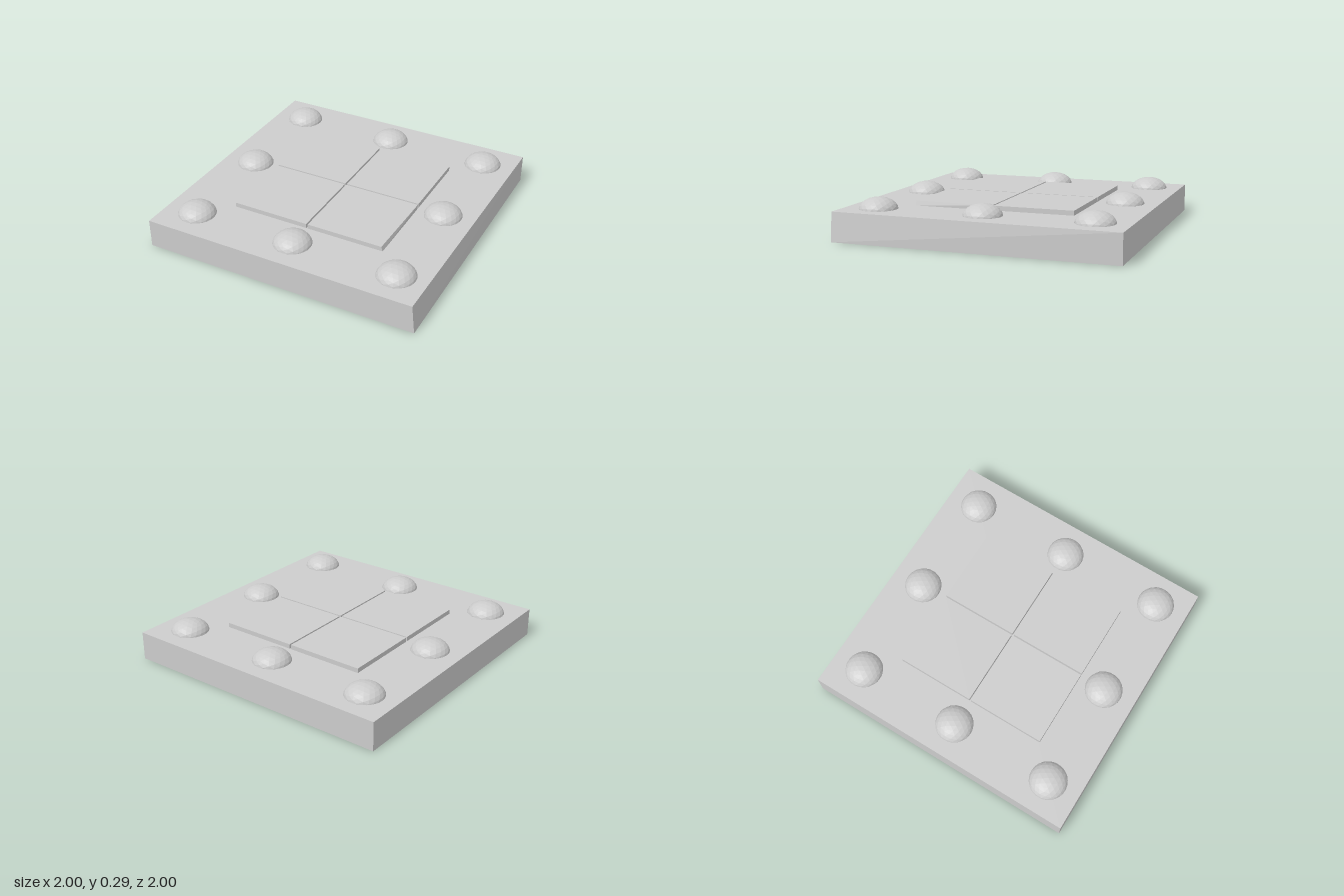
import * as THREE from 'three';

// Box standing on y = 0 whose front-left top corner is pulled inwards a little
function chippedBox(w, h, d, pull) {
  const geo = new THREE.BoxGeometry(w, h, d).translate(0, h / 2, 0);
  const p = geo.attributes.position;
  for (let i = 0; i < p.count; i++) {
    if (p.getX(i) > 0 && p.getY(i) > h / 2 && p.getZ(i) > 0) p.setX(i, p.getX(i) - pull);
  }
  geo.computeVertexNormals();
  return geo;
}

export function createModel() {
  const model = new THREE.Group();
  model.name = 'studdedSlab';
  const stone = new THREE.MeshStandardMaterial({ color: 0xcccccc });
  stone.name = 'light grey';
  stone.flatShading = true;

  const add = (name, geo, x, y, z) => {
    const mesh = new THREE.Mesh(geo, stone);
    mesh.name = name;
    mesh.position.set(x, y, z);
    model.add(mesh);
  };

  // Square slab
  add('slab', chippedBox(2, 0.205, 2, 0.02), 0, 0, 0);

  // Four raised tiles separated by a narrow cross-shaped groove
  for (const sx of [-1, 1]) {
    for (const sz of [-1, 1]) {
      const pull = sx > 0 && sz > 0 ? 0.01 : 0;
      add('tile', chippedBox(0.564, 0.035, 0.564, pull), 0.005 + sx * 0.288, 0.203, 0.005 + sz * 0.288);
    }
  }

  // Faceted flattened domes around the border
  const dome = new THREE.IcosahedronGeometry(1, 3).scale(0.136, 0.09, 0.136);
  for (const ix of [-1, 0, 1]) {
    for (const iz of [-1, 0, 1]) {
      if (ix || iz) add('domeStud', dome, ix * 0.763, 0.196, iz * 0.763);
    }
  }
  return model;
}
